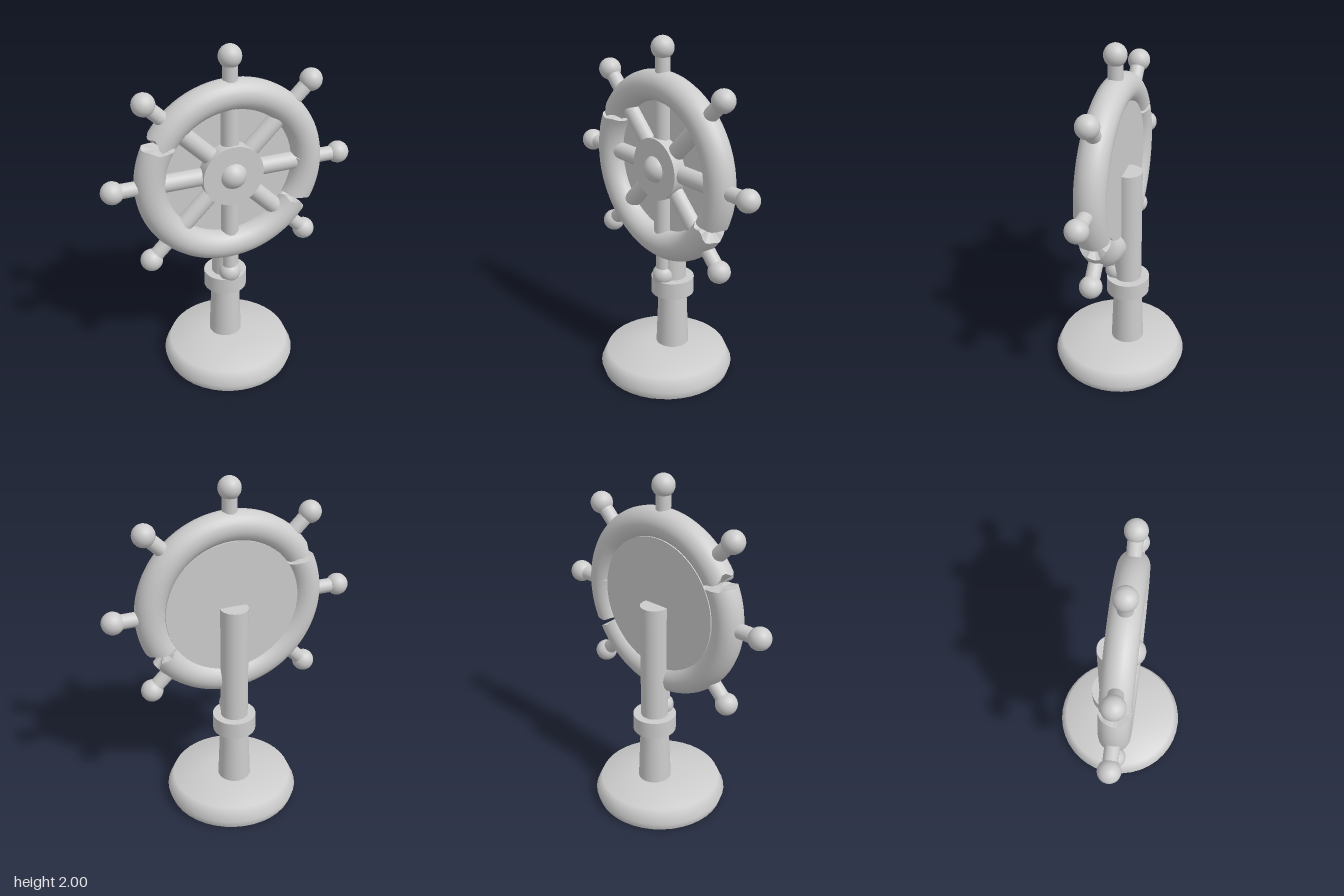
import * as THREE from 'three';

const WHEEL_Y = 1.277, WHEEL_Z = 0.025, RING = 0.455, TUBE = 0.085;
const RAD = Math.PI / 180;

export function createModel() {
  const model = new THREE.Group();
  const stone = new THREE.MeshStandardMaterial({ color: 0xcccccc, side: THREE.DoubleSide });
  stone.name = 'paleGrey';

  const add = (parent, name, geometry, x = 0, y = 0, z = 0) => {
    const mesh = new THREE.Mesh(geometry, stone);
    mesh.name = name;
    mesh.position.set(x, y, z);
    parent.add(mesh);
    return mesh;
  };

  // Round foot with a bevelled rim
  const profile = [[0.375, 0], [0.391, 0.05], [0.355, 0.13], [0.13, 0.155], [0, 0.155]]
    .map(([x, y]) => new THREE.Vector2(x, y));
  add(model, 'base', new THREE.LatheGeometry(profile, 40));
  add(model, 'baseUnderside', new THREE.CircleGeometry(0.375, 40).rotateX(Math.PI / 2));

  // Column behind the wheel
  add(model, 'lowerColumn', new THREE.CylinderGeometry(0.082, 0.097, 0.38, 32), 0, 0.33, -0.048);
  add(model, 'collar', new THREE.CylinderGeometry(0.125, 0.125, 0.1, 32), 0, 0.54, -0.048);
  add(model, 'upperColumn', new THREE.CylinderGeometry(0.079, 0.079, 0.76, 32), 0, 0.9, -0.048);

  // Wheel
  const wheel = new THREE.Group();
  wheel.name = 'wheel';
  wheel.position.set(0, WHEEL_Y, WHEEL_Z);
  model.add(wheel);

  const disc = (r, depth, seg) => new THREE.CylinderGeometry(r, r, depth, seg).rotateX(Math.PI / 2);
  add(wheel, 'backPlate', disc(0.385, 0.045, 64), 0, 0, -0.033);
  add(wheel, 'hub', disc(0.175, 0.09, 40), 0, 0, 0.02);
  add(wheel, 'hubBoss', new THREE.SphereGeometry(0.08, 32, 20), 0, 0, 0.036);

  // Eight spokes with ball-ended handles
  for (let i = 0; i < 8; i++) {
    const arm = new THREE.Group();
    arm.name = 'arm' + (i + 1);
    arm.rotation.z = i * Math.PI / 4;
    wheel.add(arm);
    add(arm, 'spoke', new THREE.CylinderGeometry(0.05, 0.05, 0.3, 24), 0, 0.27, 0);
    add(arm, 'handleRod', new THREE.CylinderGeometry(0.041, 0.041, 0.18, 20), 0, 0.55, 0);
    add(arm, 'handleBall', new THREE.SphereGeometry(0.063, 24, 16), 0, 0.66, 0);
  }

  // Broken rim: each end is [inner, middle, outer, roughness] in degrees
  const endAngle = ([inner, middle, outer, rough], v) => {
    const c = Math.cos(v);
    const a = c > 0 ? middle + (outer - middle) * c : middle + (middle - inner) * c;
    return (a + rough * Math.sin(5 * v + 0.6)) * RAD;
  };
  const SIDES = 24, STEPS = 48;
  const rimPoint = (angle, v, k = 1) => {
    const r = RING + TUBE * k * Math.cos(v);
    return [r * Math.cos(angle), r * Math.sin(angle), TUBE * k * Math.sin(v)];
  };

  const rimPiece = (name, start, end) => {
    const geo = new THREE.TorusGeometry(RING, TUBE, SIDES, STEPS, 1);
    const pos = geo.attributes.position, nor = geo.attributes.normal, uv = geo.attributes.uv;
    for (let i = 0; i < pos.count; i++) {
      const v = uv.getY(i) * Math.PI * 2;
      const a = THREE.MathUtils.lerp(endAngle(start, v), endAngle(end, v), uv.getX(i));
      pos.setXYZ(i, ...rimPoint(a, v));
      nor.setXYZ(i, Math.cos(v) * Math.cos(a), Math.cos(v) * Math.sin(a), Math.sin(v));
    }
    add(wheel, name, geo);

    // Rough faces closing both ends
    [[start, 1], [end, -1]].forEach(([edge, turn]) => {
      const points = [];
      for (let j = 0; j < SIDES; j++) {
        const v0 = j / SIDES * Math.PI * 2, v1 = (j + 1) / SIDES * Math.PI * 2;
        const p0 = rimPoint(endAngle(edge, v0), v0), p1 = rimPoint(endAngle(edge, v1), v1);
        const centre = rimPoint(edge[1] * RAD, 0, 0);
        points.push(...centre, ...(turn > 0 ? p0 : p1), ...(turn > 0 ? p1 : p0));
      }
      const cap = new THREE.BufferGeometry();
      cap.setAttribute('position', new THREE.Float32BufferAttribute(points, 3));
      cap.computeVertexNormals();
      add(wheel, name + 'BrokenEnd', cap);
    });
  };
  rimPiece('upperRim', [5, 2.5, 5, 1.2], [143.5, 150, 147, 1.5]);
  rimPiece('lowerRim', [148, 153, 155.5, 0.4], [327, 329, 325, 1.5]);
  rimPiece('rightRim', [-30, -27.5, -24, 0.5], [4, 4, 6.5, 0.8]);

  return model;
}
